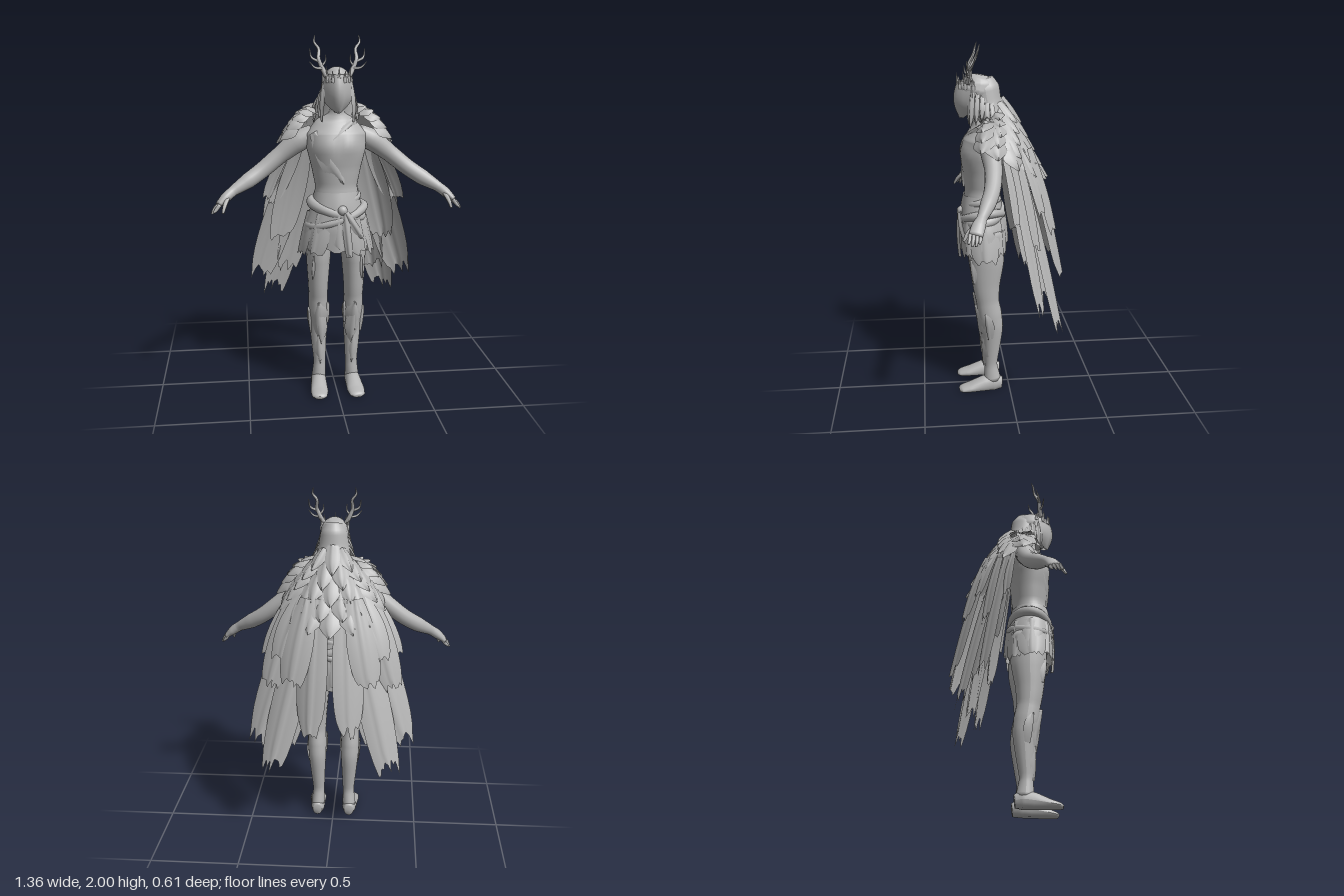
import * as THREE from 'three';

const grey = new THREE.MeshStandardMaterial({ color: 0xb4b4b4, side: THREE.DoubleSide });
grey.name = 'plain grey';
const V = (x, y, z) => new THREE.Vector3(x, y, z);
const mix = THREE.MathUtils.lerp;
let seed = 7;
const rnd = () => ((seed = (seed * 16807) % 2147483647) / 2147483647);

function add(parent, name, geo) {
  const mesh = new THREE.Mesh(geo, grey);
  mesh.name = name;
  parent.add(mesh);
  return mesh;
}

// Triangulates a grid of points, rows x cols
function grid(rows) {
  const cols = rows[0].length, pos = [], idx = [];
  rows.forEach(r => r.forEach(p => pos.push(p.x, p.y, p.z)));
  for (let i = 0; i < rows.length - 1; i++)
    for (let j = 0; j < cols - 1; j++) {
      const a = i * cols + j, b = a + cols;
      idx.push(a, b, a + 1, b, b + 1, a + 1);
    }
  const g = new THREE.BufferGeometry();
  g.setAttribute('position', new THREE.Float32BufferAttribute(pos, 3));
  g.setIndex(idx);
  g.computeVertexNormals();
  return g;
}

// Round body swept through points [x, y, z, radiusA, radiusB]
function limb(pts, { seg = 20, steps = 5, ref = V(0, 0, 1), open = false, move } = {}) {
  const curve = new THREE.CatmullRomCurve3(pts.map(p => V(p[0], p[1], p[2])));
  const n = (pts.length - 1) * steps, rows = [];
  for (let i = 0; i <= n; i++) {
    const t = i / n, k = Math.min(Math.floor(i / steps), pts.length - 2), f = i / steps - k;
    const c = curve.getPoint(t), T = curve.getTangent(t);
    const U = T.clone().cross(ref).normalize(), W = U.clone().cross(T);
    const ra = mix(pts[k][3], pts[k + 1][3], f), rb = mix(pts[k][4], pts[k + 1][4], f);
    const row = [];
    for (let j = 0; j <= seg; j++) {
      const a = (j % seg) / seg * Math.PI * 2;
      const p = c.clone().addScaledVector(U, ra * Math.cos(a)).addScaledVector(W, rb * Math.sin(a));
      if (move) move(p, a, t);
      row.push(p);
    }
    if (!open && i === 0) rows.push(row.map(() => c.clone()));
    rows.push(row);
    if (!open && i === n) rows.push(row.map(() => c.clone()));
  }
  return grid(rows);
}

// Curved leaf or feather sheet; blunt = tip width share, rag = torn tip, taper = tip roundness
function leaf(root, tip, width, normal, { curl = 0.15, bow = 0.02, blunt = 0.02, rag = 0, base = 0.5, taper = 2 } = {}) {
  const L = tip.clone().sub(root), dir = L.clone().normalize();
  const side = dir.clone().cross(normal).normalize(), N = side.clone().cross(dir);
  const rows = [], m = rag ? 10 : 6, n = 10;
  const jag = Array.from({ length: m + 1 }, () => -rag * rnd());
  for (let i = 0; i <= n; i++) {
    const t = i / n, row = [];
    const w = width * (t < 0.55 ? mix(base, 1, Math.sin(t / 0.55 * Math.PI / 2)) : mix(1, blunt, ((t - 0.55) / 0.45) ** taper));
    for (let j = 0; j <= m; j++) {
      const u = j / m * 2 - 1, s = t * (1 + jag[j] * t ** 6);
      row.push(root.clone().addScaledVector(L, s).addScaledVector(side, u * w / 2)
        .addScaledVector(N, bow * Math.sin(Math.PI * s) - curl * w * u * u + 0.01 * Math.max(0, 1 - Math.abs(u) * 6)));
    }
    rows.push(row);
  }
  return grid(rows);
}

// Surface of the feather mantle: a = angle from the back, t = neck to hem
function mantle(a, t) {
  const c = Math.cos(a), b = Math.max(c, 0), f = Math.max(-c, 0), s = Math.abs(Math.sin(a));
  const y = mix(1.585 + 0.125 * b, 1.44 - 0.17 * b + 0.05 * f, t) + 0.06 * Math.sin(Math.PI * t) * s * s;
  const rz = c > 0 ? mix(0.075, 0.29, t) : mix(0.05, 0.12, t);
  return V(Math.sin(a) * mix(0.085, 0.28, t ** 0.8), y, 0.11 - c * rz);
}

export function createModel() {
  const model = new THREE.Group();
  model.name = 'antleredFigure';

  // Torso and neck, with a shaped chest and belly
  add(model, 'torso', limb([
    [0, 0.92, 0.14, 0.15, 0.11], [0, 1.1, 0.15, 0.125, 0.1], [0, 1.2, 0.145, 0.115, 0.098],
    [0, 1.3, 0.145, 0.135, 0.107], [0, 1.4, 0.145, 0.16, 0.122], [0, 1.48, 0.13, 0.165, 0.115],
    [0, 1.55, 0.13, 0.11, 0.08], [0, 1.6, 0.14, 0.05, 0.05], [0, 1.68, 0.15, 0.045, 0.05]],
    { seg: 40, move: p => {
      if (p.z > 0.18) p.z += 0.008 * Math.exp(-(((p.y - 1.43) / 0.05) ** 2)) * Math.cos((Math.abs(p.x) - 0.07) * 30);
    } }));
  add(model, 'chestFold', leaf(V(-0.12, 1.5, 0.2), V(0.03, 1.22, 0.245), 0.13, V(0, 0, 1), { bow: 0.025 }));
  add(model, 'collar', leaf(V(0.1, 1.56, 0.17), V(-0.05, 1.44, 0.25), 0.07, V(0, 0.2, 1), {}));

  // Head, hood and pointed mask
  add(model, 'head', limb([
    [0, 1.61, 0.22, 0.02, 0.03], [0, 1.65, 0.2, 0.05, 0.07], [0, 1.7, 0.175, 0.07, 0.1],
    [0, 1.75, 0.16, 0.08, 0.115], [0, 1.79, 0.152, 0.07, 0.1], [0, 1.815, 0.15, 0.053, 0.075],
    [0, 1.832, 0.147, 0.025, 0.035]], { seg: 28 }));
  add(model, 'hood', limb([
    [0, 1.54, 0.08, 0.12, 0.085], [0, 1.61, 0.095, 0.1, 0.08], [0, 1.69, 0.115, 0.085, 0.08],
    [0, 1.76, 0.128, 0.075, 0.083], [0, 1.81, 0.14, 0.05, 0.06]], { seg: 28 }));
  add(model, 'mask', leaf(V(0, 1.8, 0.265), V(0, 1.6, 0.255), 0.165, V(0, 0, 1), { curl: 0.55, base: 0.9, bow: 0.026, blunt: 0.15 }));
  for (let i = -3; i <= 3; i++) {
    const a = i * 0.42, tall = 0.085 - 0.02 * (i & 1);
    const spike = add(model, 'crownPoint', new THREE.ConeGeometry(0.013, tall, 6));
    spike.position.set(Math.sin(a) * 0.079, 1.76 + tall / 2, 0.16 + Math.cos(a) * 0.113);
    spike.rotation.set(0.12, 0, -Math.sin(a) * 0.15);
  }

  // Skirt with torn hem, wrapped panels and sash
  add(model, 'skirt', limb([
    [0, 1.17, 0.147, 0.12, 0.105], [0, 1.08, 0.15, 0.14, 0.12], [0, 0.98, 0.145, 0.175, 0.132], [0, 0.86, 0.14, 0.195, 0.128]],
    { seg: 48, open: true, move: (p, a, t) => {
      p.y -= t ** 4 * 0.02 * Math.sin(a * 7) * Math.sin(a * 3 + 1);
      p.z += t * 0.004 * Math.sin(a * 9);
    } }));
  for (let i = 0; i < 8; i++) {
    const a = i / 8 * Math.PI * 2, c = Math.cos(a), s = Math.sin(a);
    add(model, 'hemPanel', leaf(V(c * 0.15, 1.06, 0.146 + s * 0.123), V(c * 0.208, 0.87 - 0.055 * Math.abs(c) - 0.02 * rnd(), 0.14 + s * 0.134),
      0.16, V(c, 0, s), { blunt: 0.7, rag: 0.15, bow: 0.004, base: 0.7, curl: 0.2 }));
  }
  [[1.125, 0.02, 0.115, 0.022], [1.07, -0.04, 0.135, 0.03], [1.035, 0.05, 0.152, 0.024]].forEach(([y, tilt, r, th]) => {
    const pts = [];
    for (let i = 0; i < 14; i++) {
      const a = i / 14 * Math.PI * 2;
      pts.push(V(Math.cos(a) * r, y + tilt * Math.cos(a) - 0.015 * Math.sin(a), 0.147 + Math.sin(a) * (r * 0.6 + 0.02)));
    }
    add(model, 'sash', new THREE.TubeGeometry(new THREE.CatmullRomCurve3(pts, true), 48, th, 10, true));
  });
  const knot = add(model, 'sashKnot', new THREE.SphereGeometry(0.028, 14, 10));
  knot.position.set(0.02, 1.08, 0.262);
  add(model, 'sashTail', leaf(V(0.03, 1.08, 0.277), V(0.06, 0.82, 0.275), 0.045, V(0, 0, 1), { blunt: 0.8, base: 0.8, bow: 0.008 }));
  add(model, 'sashTail', leaf(V(0.03, 1.08, 0.277), V(0.13, 0.92, 0.245), 0.045, V(0.3, 0, 1), { blunt: 0.7, base: 0.8, bow: 0.012 }));

  // Mantle: under-cloth and overlapping rows of pointed feathers
  const cloth = [];
  for (let i = 0; i <= 8; i++)
    cloth.push(Array.from({ length: 33 }, (_, j) => mantle((j / 16 - 1) * 2.1, i / 8 * 0.9)));
  add(model, 'mantleCloth', grid(cloth));
  for (let k = 0; k < 5; k++) {
    const t = k * 0.175, count = 7 + k;
    for (let i = 0; i < count; i++) {
      const a = ((i + 0.5) / count * 2 - 1) * 2.1 + (rnd() - 0.5) * 0.06;
      const r = mantle(a, t), tip = mantle(a, t + 0.36);
      const da = mantle(a + 0.05, t + 0.15).sub(mantle(a - 0.05, t + 0.15));
      const N = da.cross(tip.clone().sub(r)).normalize();
      if (N.y < 0) N.negate();
      r.addScaledVector(N, 0.004);
      tip.addScaledVector(N, 0.03);
      add(model, 'mantleFeather', leaf(r, tip, 0.085 + 0.06 * t, N, { bow: 0.006, base: 0.7, taper: 1.3 }));
    }
  }

  for (const s of [-1, 1]) {
    const side = new THREE.Group();
    side.name = s > 0 ? 'leftSide' : 'rightSide';
    model.add(side);
    const m = pts => pts.map(p => [p[0] * s, ...p.slice(1)]);
    const P = (x, y, z) => V(x * s, y, z);

    // Arm and hand
    add(side, 'arm', limb(m([
      [0.12, 1.48, 0.11, 0.05, 0.05], [0.2, 1.44, 0.11, 0.06, 0.056], [0.3, 1.365, 0.105, 0.048, 0.047],
      [0.4, 1.285, 0.12, 0.045, 0.043], [0.48, 1.232, 0.15, 0.043, 0.04], [0.56, 1.185, 0.185, 0.028, 0.026],
      [0.6, 1.155, 0.205, 0.027, 0.036], [0.64, 1.12, 0.222, 0.016, 0.036]])));
    for (let i = 0; i < 4; i++) {
      const z = 0.195 + i * 0.018, d = 0.01 * Math.abs(i - 1.5);
      add(side, 'finger', limb(m([[0.63, 1.126, z, 0.011, 0.01], [0.664 - d, 1.1, z + 0.004, 0.01, 0.009],
        [0.678 - d, 1.07 + d, z + 0.01, 0.006, 0.006]]), { seg: 8, steps: 3 }));
    }
    add(side, 'thumb', limb(m([[0.59, 1.155, 0.225, 0.014, 0.012], [0.605, 1.12, 0.26, 0.011, 0.011],
      [0.615, 1.085, 0.28, 0.007, 0.007]]), { seg: 8, steps: 3, ref: V(0, 1, 0) }));

    // Leg, foot and leg wraps
    add(side, 'leg', limb(m([
      [0.093, 0.98, 0.135, 0.075, 0.1], [0.098, 0.8, 0.13, 0.068, 0.1], [0.1, 0.66, 0.132, 0.058, 0.078],
      [0.1, 0.56, 0.125, 0.053, 0.065], [0.1, 0.48, 0.112, 0.055, 0.068], [0.098, 0.4, 0.098, 0.053, 0.06],
      [0.095, 0.28, 0.102, 0.043, 0.048], [0.092, 0.16, 0.108, 0.034, 0.036], [0.097, 0.06, 0.1, 0.04, 0.05]])));
    add(side, 'foot', limb(m([
      [0.097, 0.04, 0.045, 0.028, 0.035], [0.097, 0.045, 0.09, 0.042, 0.055], [0.1, 0.038, 0.15, 0.045, 0.05],
      [0.104, 0.024, 0.23, 0.05, 0.028], [0.108, 0.016, 0.28, 0.042, 0.018], [0.11, 0.012, 0.296, 0.022, 0.01]]),
      { ref: V(0, 1, 0), move: p => { p.y = Math.max(p.y, 0.004); } }));
    [[0.105, 0.36, 0.153, 0.1, 0.54, 0.192, 0.1, 0.1], [0.14, 0.34, 0.12, 0.155, 0.5, 0.14, 0.07, 0.9],
      [0.105, 0.5, 0.182, 0.085, 0.28, 0.15, 0.085, 0.1], [0.05, 0.4, 0.13, 0.047, 0.53, 0.15, 0.06, -0.9],
      [0.13, 0.82, 0.217, 0.135, 0.68, 0.198, 0.05, 0.5], [0.1, 0.34, 0.15, 0.09, 0.15, 0.143, 0.07, 0]]
      .forEach(w => add(side, 'legWrap', leaf(P(w[0], w[1], w[2]), P(w[3], w[4], w[5]), w[6], V(w[7] * s, 0, 1), { curl: 0.35, bow: 0.005 })));

    // Antler with tines
    const antler = [
      [[0.06, 1.79, 0.22, 0.014], [0.085, 1.84, 0.21, 0.012], [0.1, 1.88, 0.205, 0.01], [0.097, 1.93, 0.18, 0.008], [0.12, 1.965, 0.17, 0.006], [0.115, 2.0, 0.16, 0.002]],
      [[0.095, 1.865, 0.21, 0.008], [0.135, 1.885, 0.2, 0.006], [0.145, 1.93, 0.185, 0.002]],
      [[0.08, 1.83, 0.215, 0.008], [0.12, 1.835, 0.225, 0.006], [0.15, 1.865, 0.23, 0.002]],
      [[0.085, 1.84, 0.21, 0.007], [0.065, 1.87, 0.215, 0.005], [0.066, 1.9, 0.22, 0.002]]];
    antler.forEach(b => add(side, 'antler', limb(m(b.map(p => [...p, p[3]])), { seg: 8, steps: 4 })));

    // Hair strands beside the face
    for (let i = 0; i < 5; i++)
      add(side, 'hairStrand', leaf(P(0.07, 1.76 - i * 0.015, 0.2 - i * 0.025), P(0.08 + i * 0.012, 1.55 + 0.02 * (i % 3), 0.21 - i * 0.03),
        0.045, V(s, 0, 0.4), { bow: 0.012, taper: 1.2 }));

    // Long cape feathers: root, tip, width
    [[0.15, 1.45, 0, 0.43, 0.585, -0.15, 0.2], [0.1, 1.45, -0.04, 0.345, 0.45, -0.262, 0.19],
      [0.1, 1.42, -0.03, 0.265, 0.61, -0.2, 0.19], [0.16, 1.45, 0.02, 0.31, 0.83, -0.08, 0.18],
      [0.19, 1.45, 0.04, 0.37, 1.07, -0.02, 0.14], [0.2, 1.45, -0.03, 0.355, 0.93, -0.13, 0.16],
      [0.08, 1.45, -0.11, 0.115, 0.7, -0.298, 0.18], [0.13, 1.45, -0.11, 0.22, 0.98, -0.24, 0.18],
      [0.16, 1.45, -0.06, 0.28, 1.1, -0.17, 0.17]]
      .forEach(f => add(side, 'capeFeather', leaf(P(f[0], f[1], f[2]), P(f[3], f[4], f[5]), f[6], V(0.35 * s, 0.2, -1),
        { blunt: 0.65, rag: 0.1, bow: 0.015, curl: 0.1, taper: 2.5 })));
  }
  return model;
}
